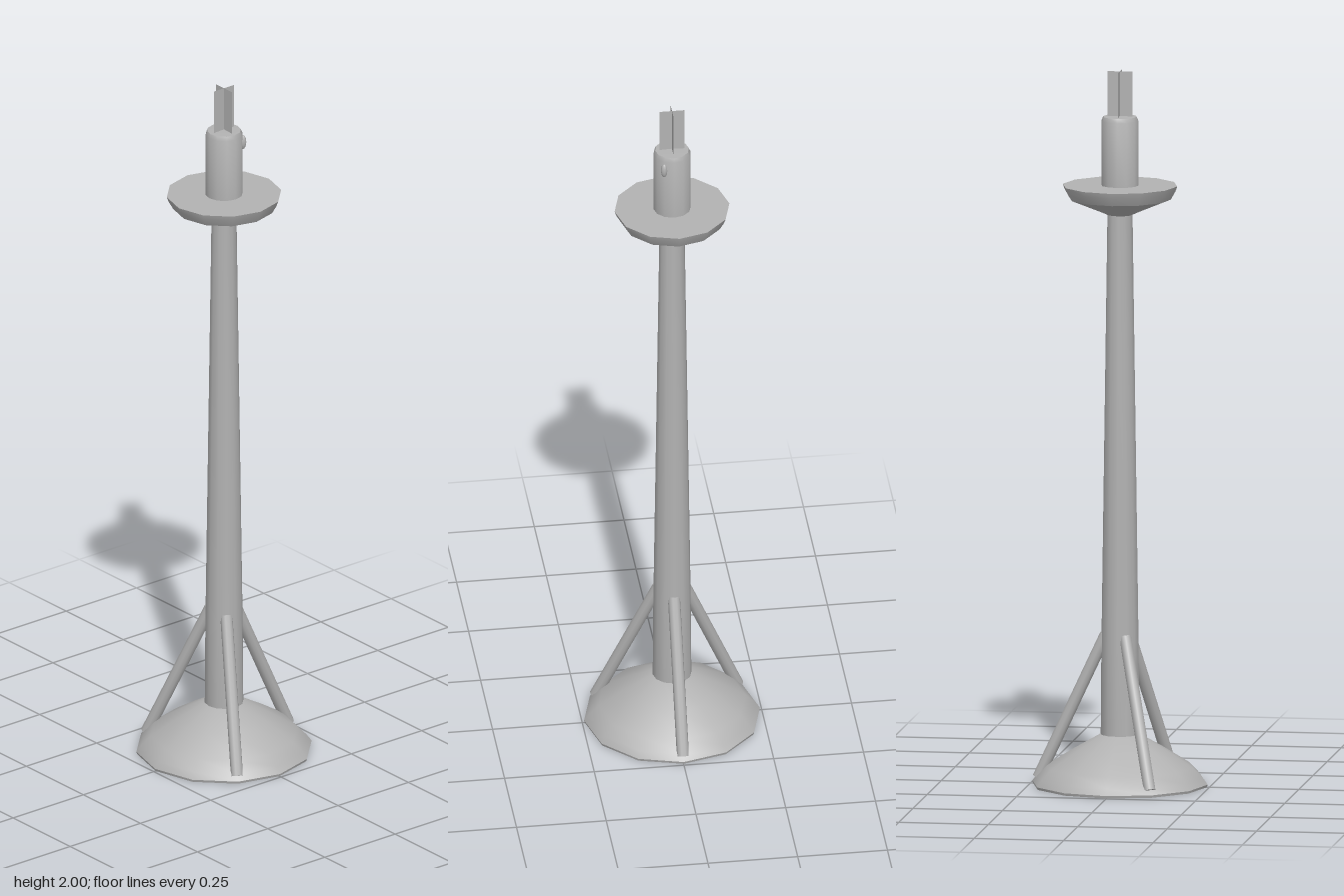
import * as THREE from 'three';
import { toCreasedNormals } from 'three/addons/utils/BufferGeometryUtils.js';

const SIDES = 12;

export function createModel() {
  const model = new THREE.Group();
  model.name = 'floorStand';
  const grey = new THREE.MeshStandardMaterial({ color: 0xb2b2b2 });
  grey.name = 'grey metal';
  const greySheet = new THREE.MeshStandardMaterial({ color: 0xb2b2b2, side: THREE.DoubleSide });
  greySheet.name = 'grey sheet metal';

  const add = (name, geometry, material = grey, parent = model) => {
    const mesh = new THREE.Mesh(geometry, material);
    mesh.name = name;
    parent.add(mesh);
    return mesh;
  };
  // Turned part from [radius, height] pairs, listed bottom to top
  const turned = (name, points) => add(name, toCreasedNormals(
    new THREE.LatheGeometry(points.map(([r, y]) => new THREE.Vector2(r, y)), SIDES), 0.65));

  // Conical foot with a thin rim
  turned('base', [[0, 0.005], [0.243, 0.005], [0.245, 0.012], [0.232, 0.03], [0.205, 0.058],
    [0.13, 0.105], [0.055, 0.148], [0, 0.148]]);

  // Tapered column
  turned('column', [[0.054, 0.14], [0.052, 0.4], [0.035, 1.61]]);

  // Drip dish, flat on top
  turned('dish', [[0.035, 1.6], [0.05, 1.607], [0.142, 1.645], [0.155, 1.668], [0.16, 1.682], [0, 1.682]]);

  // Upper sleeve with a softened top edge
  turned('sleeve', [[0.052, 1.675], [0.052, 1.862], [0.047, 1.874], [0, 1.876]]);

  // Vertical button on the sleeve
  const button = add('button', new THREE.SphereGeometry(1, 10, 8));
  button.scale.set(0.009, 0.021, 0.009);
  button.position.set(0.045, 1.835, 0.028);

  // Crossed blades at the tip
  for (const turn of [0, Math.PI / 2]) {
    const blade = add('tipBlade', new THREE.PlaneGeometry(0.07, 0.13), greySheet);
    blade.position.y = 1.935;
    blade.rotation.y = turn;
  }

  // Three slanted struts between foot and column
  const low = new THREE.Vector3(0.228, 0.022, 0);
  const high = new THREE.Vector3(0.04, 0.425, 0);
  const along = high.clone().sub(low);
  for (let i = 0; i < 3; i++) {
    const pivot = new THREE.Group();
    pivot.name = 'strutPivot';
    pivot.rotation.y = i * Math.PI * 2 / 3;
    model.add(pivot);
    const strut = add('strut', new THREE.CylinderGeometry(0.017, 0.017, along.length(), 10), grey, pivot);
    strut.position.copy(low).add(high).multiplyScalar(0.5);
    strut.quaternion.setFromUnitVectors(new THREE.Vector3(0, 1, 0), along.clone().normalize());
  }
  return model;
}
